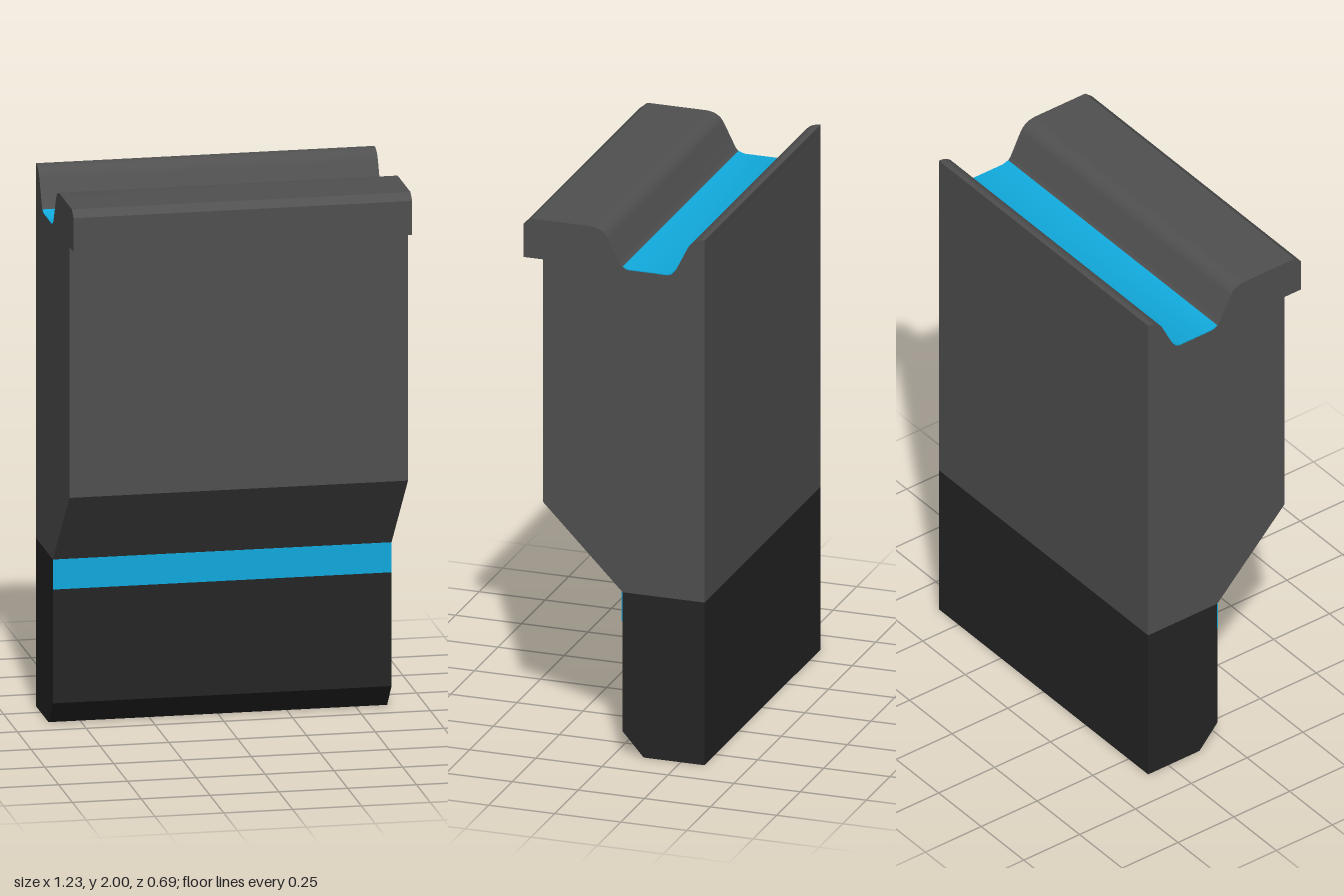
import * as THREE from 'three';
import { toCreasedNormals } from 'three/addons/utils/BufferGeometryUtils.js';

const WIDTH = 1.23;

// Sweeps a side profile, drawn as (z, y), across the full width in x.
function sweep(name, shape, material) {
  const geometry = new THREE.ExtrudeGeometry(shape, { depth: WIDTH, bevelEnabled: false, curveSegments: 8 });
  geometry.translate(0, 0, -WIDTH / 2);
  geometry.rotateY(-Math.PI / 2);
  const mesh = new THREE.Mesh(toCreasedNormals(geometry, 0.5), material);
  mesh.name = name;
  return mesh;
}

function polygon(points) {
  return new THREE.Shape(points.map(([z, y]) => new THREE.Vector2(z, y)));
}

export function createModel() {
  const bodyGrey = new THREE.MeshStandardMaterial({ color: 0x505050 });
  bodyGrey.name = 'body grey';
  const darkGrey = new THREE.MeshStandardMaterial({ color: 0x252525 });
  darkGrey.name = 'dark grey';
  const blue = new THREE.MeshStandardMaterial({ color: 0x11aadd });
  blue.name = 'bright blue';

  const model = new THREE.Group();
  model.name = 'profileBlock';

  // Main body: sloped underside, front lip and rounded groove along the top
  const body = new THREE.Shape();
  body.moveTo(-0.34, 0.62);
  body.lineTo(-0.03, 0.62);
  body.lineTo(0.27, 0.925);
  body.lineTo(0.27, 1.85);
  body.lineTo(0.345, 1.85);
  body.lineTo(0.345, 1.975);
  body.lineTo(0.315, 2);
  body.lineTo(0.095, 2);
  body.quadraticCurveTo(0.045, 2, 0.025, 1.96);
  body.lineTo(-0.015, 1.88);
  body.quadraticCurveTo(-0.03, 1.85, -0.055, 1.85);
  body.lineTo(-0.2, 1.85);
  body.quadraticCurveTo(-0.22, 1.85, -0.235, 1.88);
  body.lineTo(-0.275, 1.96);
  body.quadraticCurveTo(-0.295, 2, -0.34, 2);
  body.closePath();
  model.add(sweep('body', body, bodyGrey));

  // Lower foot with a chamfered front edge
  model.add(sweep('foot', polygon([
    [-0.34, 0], [-0.11, 0], [-0.03, 0.09], [-0.03, 0.62], [-0.34, 0.62],
  ]), darkGrey));

  // Thin blue lining on the groove floor
  model.add(sweep('grooveFloor', polygon([
    [-0.03, 1.861], [-0.043, 1.852], [-0.055, 1.849], [-0.2, 1.849], [-0.219, 1.857],
    [-0.22, 1.861], [-0.2, 1.853], [-0.055, 1.853], [-0.043, 1.856],
  ]), blue));

  // Blue stripe across the top of the foot's front
  model.add(sweep('frontStripe', polygon([
    [-0.031, 0.51], [-0.027, 0.51], [-0.027, 0.62], [-0.031, 0.62],
  ]), blue));

  return model;
}
